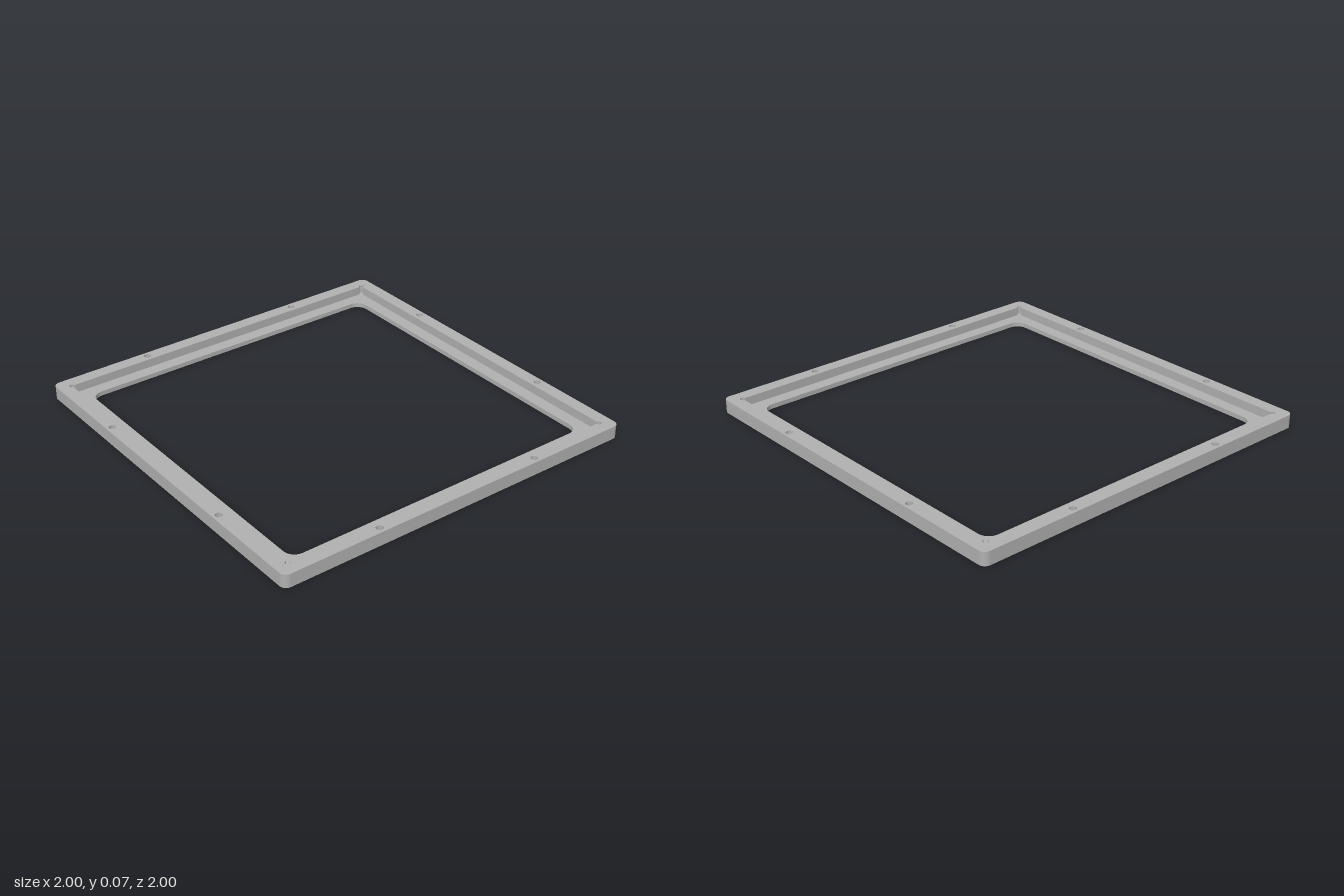
import * as THREE from 'three';
import { toCreasedNormals } from 'three/addons/utils/BufferGeometryUtils.js';

const HEIGHT = 0.07, LEDGE = 0.024, RECESS = 0.014;
const CORNERS = [[1, -1], [1, 1], [-1, 1], [-1, -1]];

// Square path of half-size h with rounded corners
function roundedSquare(path, h, r) {
  CORNERS.forEach(([sx, sy], i) => {
    const start = (i - 1) * Math.PI / 2;
    path.absarc(sx * (h - r), sy * (h - r), r, start, start + Math.PI / 2, false);
  });
  path.closePath();
  return path;
}

// Square path whose corners bulge outwards with a cutter relief
function relievedSquare(h, r) {
  const path = new THREE.Path();
  CORNERS.forEach(([sx, sy], i) => {
    const start = Math.PI + i * Math.PI / 2;
    path.absarc(sx * h, sy * h, r, start, start + Math.PI * 1.5, false);
  });
  path.closePath();
  return path;
}

function circle(x, y, r) {
  const path = new THREE.Path();
  path.absarc(x, y, r, 0, Math.PI * 2, false);
  return path;
}

// Four pairs of screw holes, two along each side
function screwHoles() {
  const holes = [];
  for (const a of [-0.463, 0.463]) {
    for (const b of [-0.968, 0.968]) holes.push(circle(a, b, 0.018), circle(b, a, 0.018));
  }
  return holes;
}

export function createModel() {
  const group = new THREE.Group();
  group.name = 'squareFrame';
  const grey = new THREE.MeshStandardMaterial({ color: 0xb0b0b0 });
  grey.name = 'grey';

  // One horizontal layer of the frame between two heights
  function addLayer(name, y0, y1, openings) {
    const shape = roundedSquare(new THREE.Shape(), 1, 0.035);
    shape.holes.push(...openings, ...screwHoles());
    let geo = new THREE.ExtrudeGeometry(shape, { depth: y1 - y0, bevelEnabled: false, curveSegments: 14 });
    geo.rotateX(-Math.PI / 2);
    geo.translate(0, y0, 0);
    geo = toCreasedNormals(geo, Math.PI / 5);
    const mesh = new THREE.Mesh(geo, grey);
    mesh.name = name;
    group.add(mesh);
  }

  const opening = () => roundedSquare(new THREE.Path(), 0.862, 0.06);
  const recesses = CORNERS.map(([sx, sy]) => circle(sx * 0.9, sy * 0.9, 0.052));

  // Underside with round corner recesses, inner ledge, then raised rim
  addLayer('recessedBase', 0, RECESS, [opening(), ...recesses]);
  addLayer('innerLedge', RECESS, LEDGE, [opening()]);
  addLayer('raisedRim', LEDGE, HEIGHT, [relievedSquare(0.93, 0.014)]);
  return group;
}
